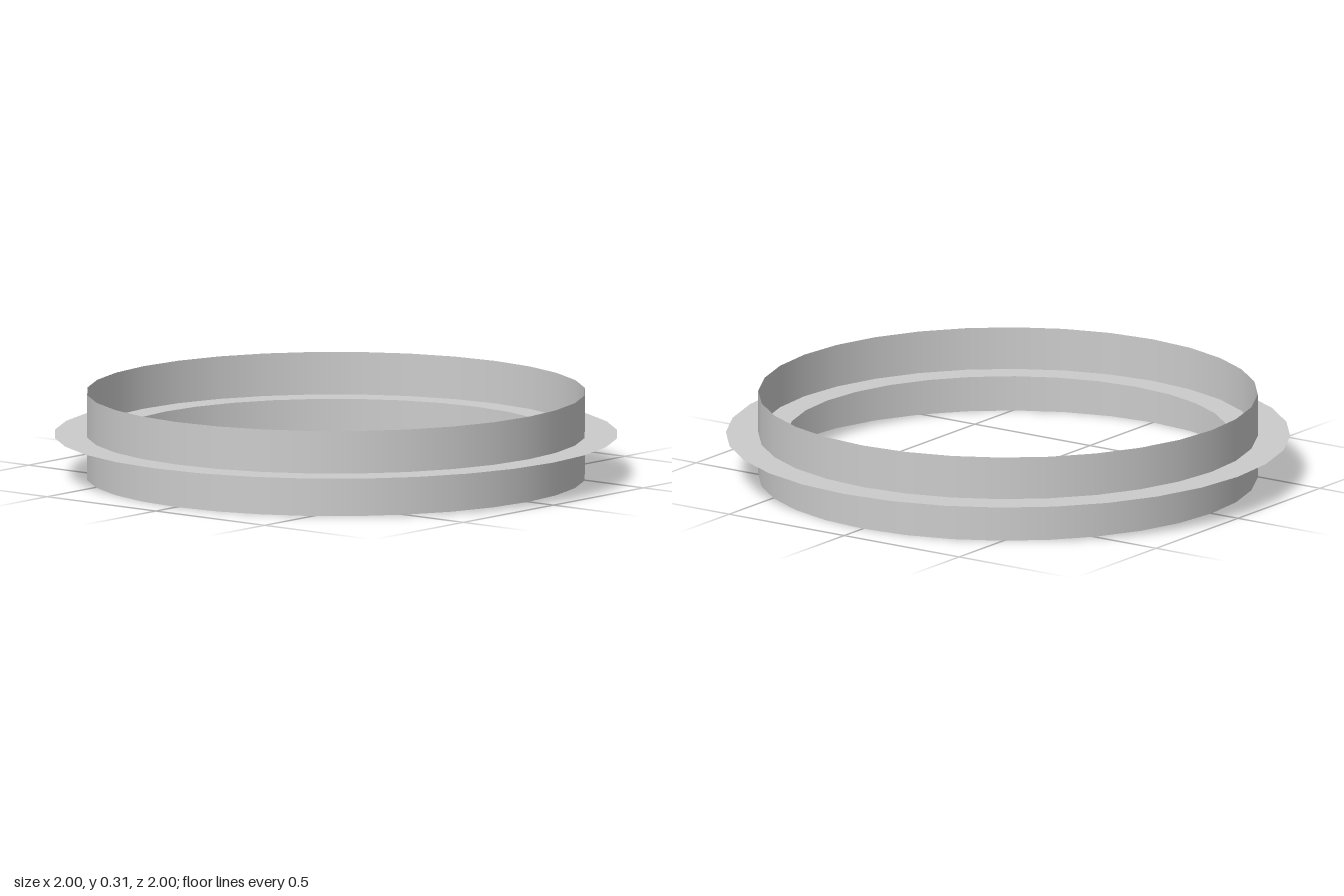
import * as THREE from 'three';

const SEGMENTS = 32;
const HEIGHT = 0.305;

export function createModel() {
  const group = new THREE.Group();
  group.name = 'flangedRing';
  const material = new THREE.MeshStandardMaterial({ color: 0xcccccc, side: THREE.DoubleSide });

  const addPart = (name, geometry) => {
    const mesh = new THREE.Mesh(geometry, material);
    mesh.name = name;
    mesh.position.y = HEIGHT / 2;
    group.add(mesh);
  };

  // Thin upright band, open at both ends
  addPart('band', new THREE.CylinderGeometry(0.885, 0.885, HEIGHT, SEGMENTS, 1, true));

  // Flat ring crossing the band at mid height
  addPart('flange', new THREE.RingGeometry(0.785, 1, SEGMENTS).rotateX(-Math.PI / 2));

  return group;
}
